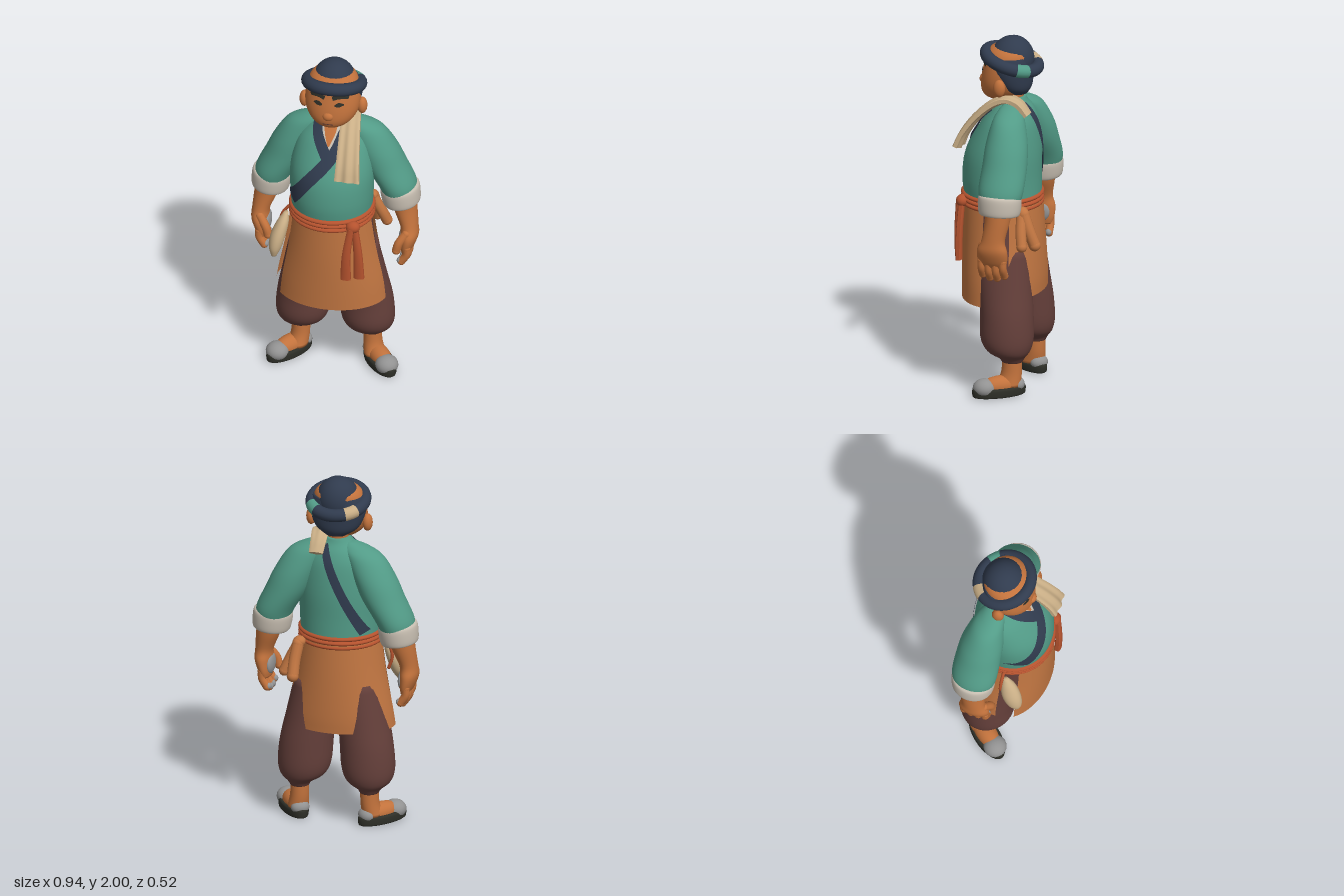
import * as THREE from 'three';

const mat = (name, color) => {
  const m = new THREE.MeshStandardMaterial({ color, side: THREE.DoubleSide });
  m.name = name;
  return m;
};

export function createModel() {
  const teal = mat('teal cloth', 0x529b87), navy = mat('navy cloth', 0x303b4e), skin = mat('skin', 0xc2723c),
    orange = mat('apron orange', 0xc07541), brown = mat('trouser brown', 0x643f3a), rust = mat('belt rust', 0xb4522e),
    sand = mat('sand cloth', 0xc9ae86), cream = mat('cream cuff', 0xc6bdb0), dark = mat('dark olive', 0x2e2f28),
    grey = mat('grey', 0x929292);
  const model = new THREE.Group();

  const add = (name, geo, material, parent = model) => {
    const m = new THREE.Mesh(geo, material);
    m.name = name;
    parent.add(m);
    return m;
  };
  const ball = (name, material, p, s, parent = model) => {
    const m = add(name, new THREE.SphereGeometry(1, 24, 16), material, parent);
    m.position.set(...p);
    m.scale.set(...s);
    return m;
  };
  const curve = (pts) => new THREE.CatmullRomCurve3(pts.map((p) => new THREE.Vector3(...p)), false, 'catmullrom');

  // Rings are [y, cx, cz, rx, rz], from low to high
  const smooth = (rings, steps = 5) => {
    const a = curve(rings.map((r) => [r[1], r[0], r[2]])), b = curve(rings.map((r) => [r[3], r[4], 0]));
    const n = (rings.length - 1) * steps;
    return Array.from({ length: n + 1 }, (_, i) => {
      const p = a.getPoint(i / n), q = b.getPoint(i / n);
      return [p.y, p.x, p.z, q.x, q.y];
    });
  };
  // Skin over horizontal ellipses; a partial angle range leaves an open sheet
  const loft = (name, material, rings, a0 = 0, a1 = Math.PI * 2, parent = model) => {
    const rs = smooth(rings), N = 40, closed = a1 - a0 > 6.28, cols = closed ? N : N + 1, pos = [], idx = [];
    for (const [y, cx, cz, rx, rz] of rs)
      for (let j = 0; j < cols; j++) {
        const a = a0 + ((a1 - a0) * j) / N;
        pos.push(cx + Math.sin(a) * rx, y, cz + Math.cos(a) * rz);
      }
    for (let i = 0; i < rs.length - 1; i++)
      for (let j = 0; j < N; j++) {
        const k = (j + 1) % cols, a = i * cols + j, b = i * cols + k;
        idx.push(a, b, b + cols, a, b + cols, a + cols);
      }
    if (closed) {
      const last = rs.length - 1, c = pos.length / 3;
      for (const r of [rs[0], rs[last]]) pos.push(r[1], r[0], r[2]);
      for (let j = 0; j < N; j++) {
        const k = (j + 1) % N;
        idx.push(c, k, j, c + 1, last * N + j, last * N + k);
      }
    }
    const g = new THREE.BufferGeometry();
    g.setAttribute('position', new THREE.Float32BufferAttribute(pos, 3));
    g.setIndex(idx);
    g.computeVertexNormals();
    return add(name, g, material, parent);
  };
  const side = (rings, s) => rings.map(([y, x, ...r]) => [y, x * s, ...r]);

  // Thin band laid on a lofted surface; points are [x, y, width]
  const band = (name, material, rings, pts, lift = 0.007, dir = 1) => {
    const rs = smooth(rings), c = curve(pts), L = 30, W = 6;
    const depth = (x, y) => {
      let i = 0;
      while (i < rs.length - 2 && rs[i + 1][0] < y) i++;
      const t = THREE.MathUtils.clamp((y - rs[i][0]) / (rs[i + 1][0] - rs[i][0]), 0, 1);
      const [cx, cz, rx, rz] = [1, 2, 3, 4].map((k) => rs[i][k] + (rs[i + 1][k] - rs[i][k]) * t);
      return cz + dir * (rz * Math.sqrt(Math.max(0, 1 - ((x - cx) / rx) ** 2)) + lift);
    };
    const g = new THREE.PlaneGeometry(1, 1, L, W), p = g.attributes.position;
    for (let i = 0; i < p.count; i++) {
      const t = p.getX(i) + 0.5, q = c.getPoint(t), d = c.getTangent(t), l = Math.hypot(d.x, d.y);
      const w = p.getY(i) * q.z, x = q.x - (d.y / l) * w, y = q.y + (d.x / l) * w;
      p.setXYZ(i, x, y, depth(x, y));
    }
    if (dir < 0) g.setIndex([...g.index.array].reverse());
    g.computeVertexNormals();
    return add(name, g, material);
  };

  // Draped slab of cloth; path points are [x, y, z], widths run along it
  const slab = (name, material, path, w0, w1, thick, folds = 0) => {
    const c = curve(path), g = new THREE.BoxGeometry(1, 1, 1, 16, 24, 2), p = g.attributes.position;
    for (let i = 0; i < p.count; i++) {
      const t = p.getY(i) + 0.5, u = p.getX(i), q = c.getPoint(t), d = c.getTangent(t);
      const h = p.getZ(i) * thick * Math.sqrt(1.1 - 4 * u * u * 0.8) + folds * Math.cos(u * 14) * (1 - t);
      p.setXYZ(i, q.x + u * (w0 + (w1 - w0) * t), q.y - d.z * h, q.z + d.y * h);
    }
    g.computeVertexNormals();
    return add(name, g, material);
  };
  const rope = (name, material, pts, r) => {
    add(name, new THREE.TubeGeometry(curve(pts), 16, r, 12), material);
    for (const e of [pts[0], pts[pts.length - 1]]) ball(name + 'End', material, e, [r, r, r]);
  };

  // Tunic
  const torso = [[1.07, 0, 0.02, 0.222, 0.212], [1.2, 0, 0.027, 0.23, 0.217], [1.35, 0, 0.015, 0.23, 0.205],
    [1.5, 0, -0.018, 0.2, 0.157], [1.58, 0, -0.035, 0.15, 0.115], [1.63, 0, -0.04, 0.095, 0.08], [1.66, 0, -0.045, 0.07, 0.062]];
  loft('tunic', teal, torso);
  band('undershirt', cream, torso, [[0, 1.645, 0.12], [0, 1.58, 0.1], [0, 1.48, 0.03]], 0.003);
  band('chestSkin', skin, torso, [[0, 1.65, 0.08], [0, 1.59, 0.06], [0, 1.53, 0.01]], 0.006);
  band('innerCollar', navy, torso, [[-0.08, 1.635, 0.055], [-0.065, 1.57, 0.06], [0.01, 1.46, 0.06]], 0.008);
  band('outerCollar', navy, torso, [[0.075, 1.6, 0.055], [0.03, 1.49, 0.065], [-0.1, 1.335, 0.065], [-0.205, 1.18, 0.065]], 0.011);
  band('backSash', navy, torso, [[0.05, 1.63, 0.04], [0, 1.5, 0.05], [-0.08, 1.33, 0.05], [-0.18, 1.13, 0.05]], 0.008, -1);

  // Head
  const head = [[1.635, 0, 0.035, 0.04, 0.045], [1.66, 0, 0.035, 0.09, 0.087], [1.7, 0, 0.02, 0.13, 0.12],
    [1.76, 0, 0.005, 0.152, 0.133], [1.84, 0, -0.01, 0.15, 0.132], [1.92, 0, -0.02, 0.125, 0.12], [1.96, 0, -0.02, 0.06, 0.06]];
  loft('head', skin, head);
  loft('neck', skin, [[1.55, 0, -0.03, 0.07, 0.07], [1.63, 0, -0.03, 0.062, 0.065], [1.7, 0, -0.03, 0.065, 0.07]]);
  loft('hair', navy, [[1.68, 0, -0.075, 0.06, 0.045], [1.72, 0, -0.055, 0.12, 0.085], [1.78, 0, -0.038, 0.15, 0.107],
    [1.85, 0, -0.03, 0.16, 0.117], [1.9, 0, -0.03, 0.14, 0.11]]);
  ball('nose', skin, [0, 1.738, 0.133], [0.03, 0.026, 0.022]);
  band('mouth', brown, head, [[-0.03, 1.688, 0.006], [0, 1.691, 0.006], [0.03, 1.688, 0.006]], 0.003);
  for (const s of [-1, 1]) {
    ball('ear', skin, [s * 0.162, 1.743, -0.01], [0.028, 0.05, 0.034]);
    band('eyebrow', dark, head, [[s * 0.022, 1.852, 0.022], [s * 0.06, 1.866, 0.032], [s * 0.108, 1.852, 0.02]], 0.005);
    band('eye', dark, head, [[s * 0.035, 1.81, 0.008], [s * 0.058, 1.814, 0.026], [s * 0.085, 1.814, 0.008]], 0.003);
  }

  // Hat with rolled brim, tipped back
  const hat = new THREE.Group();
  hat.name = 'hat';
  hat.position.set(0, 1.865, -0.03);
  hat.rotation.x = -0.28;
  model.add(hat);
  ball('hatCrown', navy, [0, 0, 0], [0.123, 0.136, 0.123], hat);
  ball('hatBase', navy, [0, 0, 0], [0.15, 0.02, 0.15], hat);
  const brim = (name, material, tube, arc, start) => {
    const g = new THREE.TorusGeometry(0.146, tube, 16, 56, arc);
    add(name, g.rotateZ(start).rotateX(Math.PI / 2), material, hat);
  };
  brim('hatBrim', navy, 0.036, Math.PI * 2, 0);
  brim('brimPatch', sand, 0.0365, 0.45, -2.55);
  brim('brimPatch', teal, 0.0365, 0.45, -0.95);

  // Towel over the left shoulder
  slab('towel', sand, [[0.128, 1.385, 0.232], [0.125, 1.46, 0.2], [0.118, 1.55, 0.135], [0.108, 1.63, 0.05],
    [0.1, 1.665, -0.03], [0.09, 1.64, -0.1], [0.09, 1.58, -0.15]], 0.14, 0.08, 0.04, 0.006);

  for (const s of [-1, 1]) {
    // Sleeves, cuffs and forearms
    loft('sleeve', teal, side([[1.14, 0.36, -0.08, 0.09, 0.11], [1.22, 0.34, -0.08, 0.108, 0.126], [1.34, 0.275, -0.08, 0.12, 0.124],
      [1.45, 0.225, -0.075, 0.12, 0.115], [1.56, 0.165, -0.065, 0.11, 0.088], [1.61, 0.11, -0.055, 0.085, 0.06], [1.64, 0.07, -0.05, 0.03, 0.03]], s));
    const cuff = loft('cuff', cream, [[-0.058, 0, 0, 0.08, 0.09], [-0.05, 0, 0, 0.102, 0.113], [0, 0, 0, 0.109, 0.121], [0.045, 0, 0, 0.107, 0.119], [0.058, 0, 0, 0.09, 0.1]]);
    cuff.position.set(s * 0.363, 1.142, -0.08);
    cuff.rotation.z = s * 0.12;
    loft('forearmAndHand', skin, side([[0.79, 0.4, -0.055, 0.025, 0.07], [0.83, 0.408, -0.055, 0.04, 0.083], [0.89, 0.418, -0.055, 0.05, 0.085],
      [0.95, 0.415, -0.06, 0.05, 0.066], [1.05, 0.39, -0.075, 0.066, 0.07], [1.14, 0.375, -0.08, 0.072, 0.075]], s));
    ball('palm', grey, [s * 0.38, 0.86, -0.058], [0.022, 0.06, 0.062]);
    for (let i = 0; i < 4; i++) {
      const z = 0.008 - i * 0.041, d = i === 0 || i === 3 ? 0.015 : 0;
      rope('finger', skin, [[s * 0.415, 0.83, z], [s * 0.412, 0.77 + d, z], [s * 0.385, 0.725 + d, z]], 0.022);
      ball('fingerPad', grey, [s * 0.376, 0.73 + d, z], [0.017, 0.019, 0.018]);
    }
    rope('thumb', skin, [[s * 0.41, 0.92, 0], [s * 0.375, 0.87, 0.022], [s * 0.36, 0.82, 0.025]], 0.024);

    // Trouser legs, ankles and shoes
    loft('trouserLeg', brown, side([[0.185, 0.2, -0.098, 0.053, 0.058], [0.21, 0.2, -0.095, 0.07, 0.075], [0.25, 0.19, -0.075, 0.125, 0.122],
      [0.32, 0.183, -0.063, 0.148, 0.147], [0.45, 0.172, -0.058, 0.148, 0.147], [0.6, 0.15, -0.04, 0.14, 0.15], [0.82, 0.12, -0.01, 0.125, 0.16]], s));
    loft('ankle', skin, side([[0.05, 0.215, -0.08, 0.058, 0.07], [0.12, 0.203, -0.095, 0.052, 0.058], [0.2, 0.2, -0.098, 0.05, 0.055]], s));
    const foot = new THREE.Group();
    foot.name = 'foot';
    foot.position.set(s * 0.255, 0, -0.04);
    foot.rotation.y = s * 0.66;
    model.add(foot);
    loft('sole', dark, [[0, 0, 0, 0.062, 0.145], [0.008, 0, 0, 0.068, 0.152], [0.04, 0, 0, 0.069, 0.154], [0.052, 0, 0, 0.062, 0.146]], 0, Math.PI * 2, foot);
    ball('footTop', skin, [0, 0.055, -0.01], [0.056, 0.055, 0.12], foot);
    ball('toeCap', grey, [0, 0.05, 0.085], [0.064, 0.052, 0.064], foot);
    ball('heelCap', grey, [0, 0.055, -0.105], [0.052, 0.04, 0.042], foot);
  }
  loft('trouserHips', brown, [[0.64, 0, -0.02, 0.16, 0.13], [0.75, 0, -0.01, 0.235, 0.18], [0.9, 0, 0.01, 0.228, 0.19], [1.07, 0, 0.02, 0.215, 0.2]]);

  // Apron panels, open at both hips
  const skirt = (low) => [[low, 0, 0.01, 0.312, 0.226], [0.65, 0, 0.01, 0.296, 0.228], [0.85, 0, 0.015, 0.257, 0.225], [1.07, 0, 0.02, 0.226, 0.217]];
  loft('apronFront', orange, skirt(0.515), -1.05, 1.39);
  loft('apronBack', orange, skirt(0.55), 2.05, 4.8);

  // Rope belt, front tails and rear bow
  for (const y of [1.048, 1.073, 1.098])
    loft('beltRope', rust, [[y - 0.014, 0, 0.024, 0.222, 0.213], [y - 0.008, 0, 0.024, 0.234, 0.224], [y, 0, 0.024, 0.238, 0.228], [y + 0.008, 0, 0.024, 0.234, 0.224], [y + 0.014, 0, 0.024, 0.222, 0.213]]);
  ball('beltKnot', rust, [0.155, 1.07, 0.205], [0.04, 0.035, 0.035]);
  slab('beltTail', rust, [[0.122, 0.74, 0.238], [0.126, 0.9, 0.24], [0.148, 1.07, 0.225]], 0.056, 0.035, 0.035);
  slab('beltTail', rust, [[0.192, 0.74, 0.212], [0.185, 0.9, 0.212], [0.165, 1.07, 0.205]], 0.056, 0.035, 0.035);
  ball('bowKnot', orange, [0.185, 1.05, -0.15], [0.035, 0.03, 0.035]);
  rope('bowTail', orange, [[0.19, 1.04, -0.16], [0.2, 0.95, -0.195], [0.2, 0.87, -0.228]], 0.033);
  rope('bowTail', orange, [[0.19, 1.04, -0.15], [0.235, 0.95, -0.16], [0.265, 0.875, -0.175]], 0.03);

  // Pouch hanging on the right hip
  loft('pouch', sand, [[0.775, -0.3, 0.15, 0.015, 0.015], [0.83, -0.295, 0.132, 0.036, 0.046], [0.9, -0.282, 0.112, 0.042, 0.055],
    [0.97, -0.262, 0.09, 0.032, 0.042], [1.02, -0.248, 0.07, 0.012, 0.015]]);
  rope('pouchCord', rust, [[-0.225, 1.06, 0.05], [-0.265, 1.01, 0.05], [-0.285, 0.94, 0.05], [-0.265, 0.87, 0.05]], 0.009);
  return model;
}
